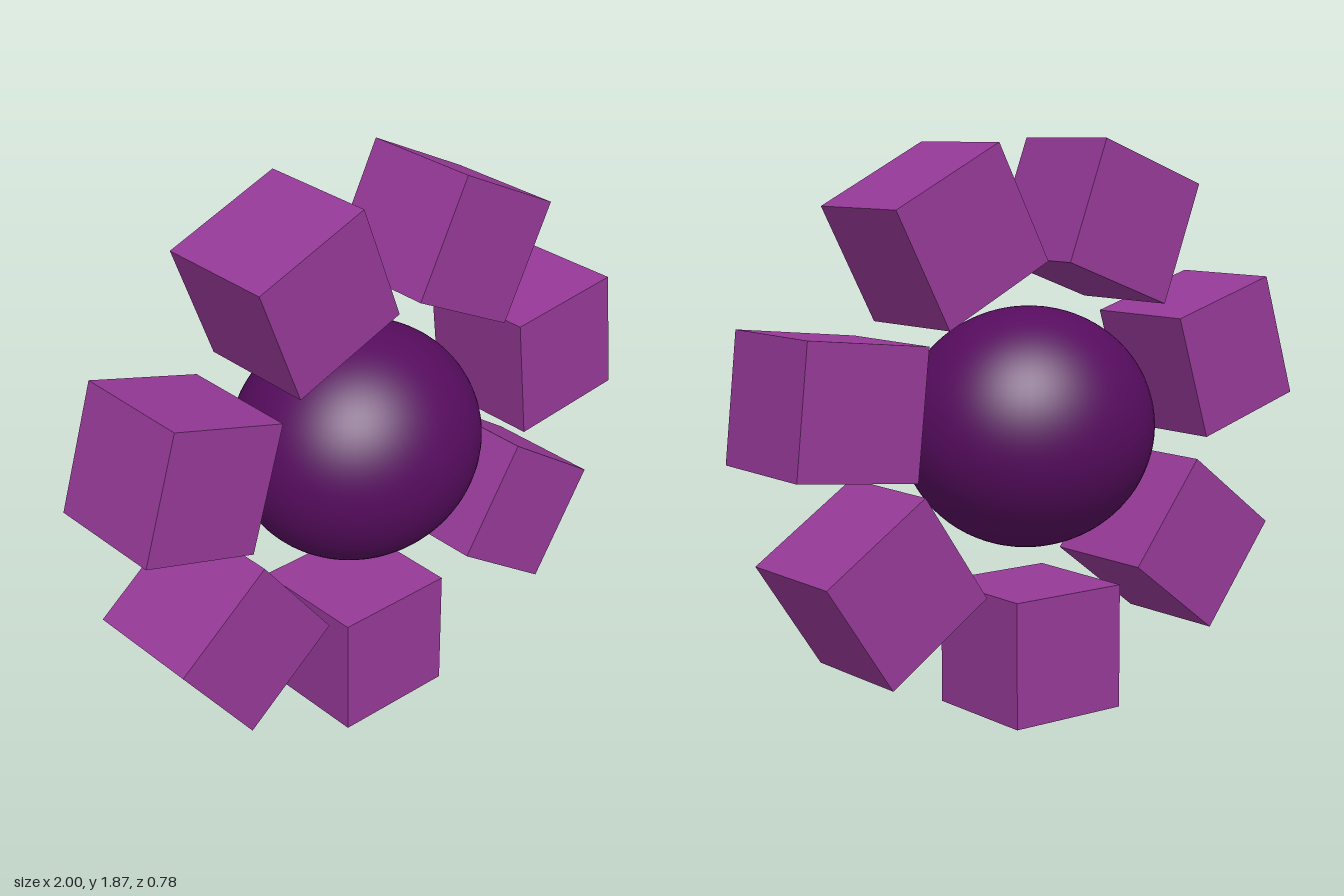
import * as THREE from 'three';

export function createModel() {
  const group = new THREE.Group();
  const violet = new THREE.MeshStandardMaterial({ color: 0x953997 });
  violet.name = 'violet';
  const darkPurple = new THREE.MeshStandardMaterial({ color: 0x560c5e });
  darkPurple.name = 'dark purple';

  // Central core: a slightly widened smooth sphere
  const core = new THREE.Mesh(new THREE.SphereGeometry(1, 64, 40), darkPurple);
  core.name = 'core';
  core.scale.set(0.428, 0.392, 0.392);
  core.position.set(0.01, 0.94, 0);
  group.add(core);

  // Ring of seven blocks: centre x, centre y, tilt in degrees
  const blocks = [
    [-0.011, 0.207, 0],
    [0.612, 0.503, -33.7],
    [0.765, 1.068, 6.1],
    [0.362, 1.574, -27.4],
    [-0.283, 1.599, 20.7],
    [-0.739, 1.134, 72.8],
    [-0.597, 0.503, -52.4],
  ];
  const blockGeometry = new THREE.BoxGeometry(0.426, 0.414, 0.414);
  blocks.forEach(([x, y, tilt], i) => {
    const block = new THREE.Mesh(blockGeometry, violet);
    block.name = `ringBlock${i + 1}`;
    block.position.set(x, y, 0.015);
    block.rotation.z = THREE.MathUtils.degToRad(tilt);
    group.add(block);
  });

  return group;
}
